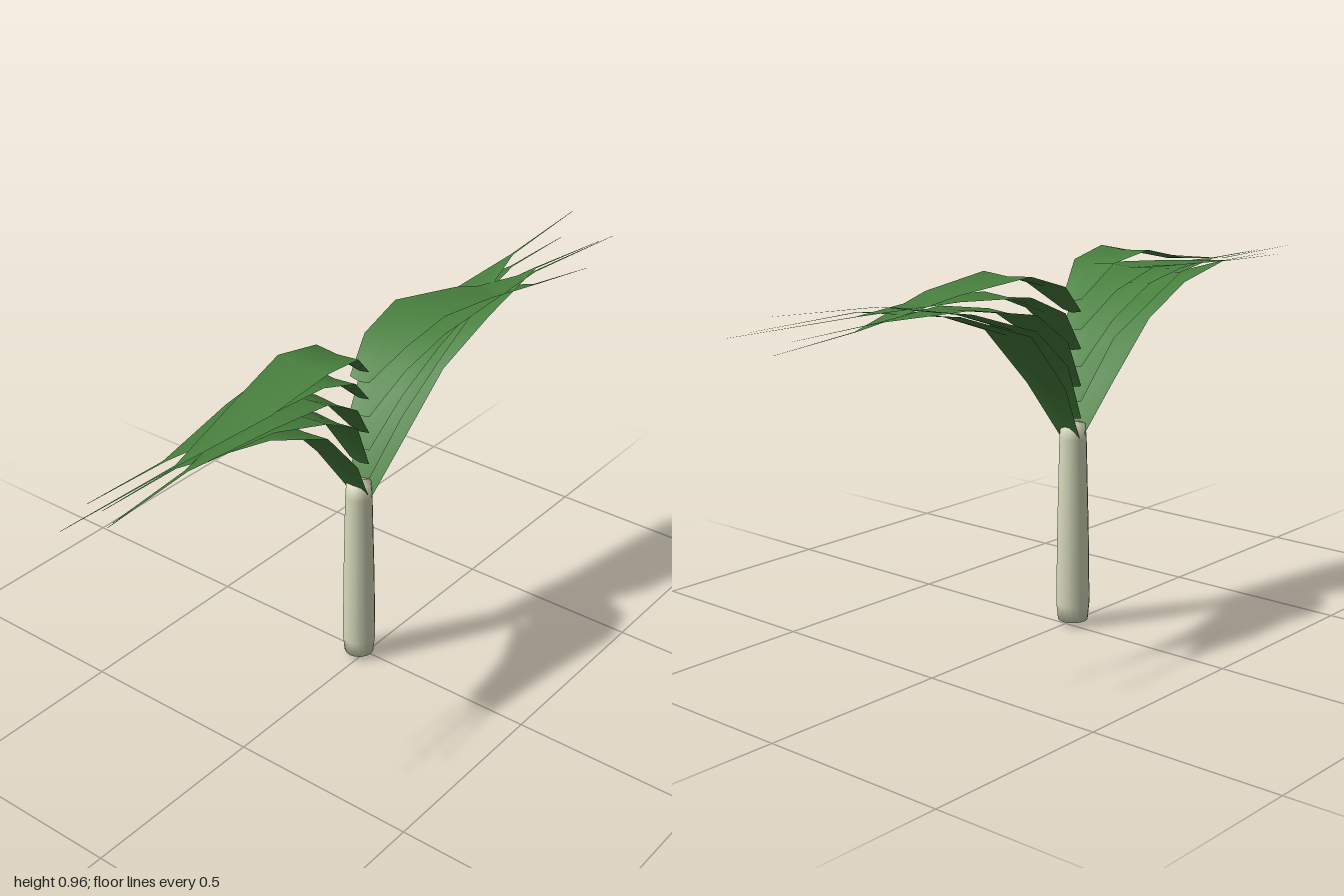
import * as THREE from 'three';

const stalkMat = new THREE.MeshStandardMaterial({ color: 0xd6d9bb });
stalkMat.name = 'pale stalk';
const leafMat = new THREE.MeshStandardMaterial({ color: 0x48803e, side: THREE.DoubleSide });
leafMat.name = 'leaf green';

const BASE_X = -0.013;
const RIB_DROP = 0.006;
// half widths at each station: base, shoulder, widest, taper, blade end, needle tip
const HALF = [0.03, 0.064, 0.077, 0.055, 0.003, 0.0007];

// A strap leaf with a shallow midrib, lofted through stations; dir is +1 forward or -1 backward
function leaf(name, dir, heights, reach, midX, tipX) {
  const zs = dir > 0 ? [0.01, 0.10, 0.23, 0.41, 0.66, reach] : [-0.01, 0.08, 0.21, 0.41, 0.66, reach];
  const pos = [], index = [];
  zs.forEach((z, i) => {
    const x = i < 3
      ? THREE.MathUtils.lerp(BASE_X, midX, i / 2)
      : THREE.MathUtils.lerp(midX, tipX, (z - zs[2]) / (reach - zs[2]));
    const drop = i < 4 ? RIB_DROP : 0;
    for (const side of [-1, 0, 1]) {
      pos.push(x + side * dir * HALF[i], heights[i] - (side ? 0 : drop), z * dir);
    }
    if (i) {
      for (const a of [3 * i - 3, 3 * i - 2]) index.push(a, a + 3, a + 1, a + 1, a + 3, a + 4);
    }
  });
  const geo = new THREE.BufferGeometry();
  geo.setAttribute('position', new THREE.Float32BufferAttribute(pos, 3));
  geo.setIndex(index);
  geo.computeVertexNormals();
  const mesh = new THREE.Mesh(geo, leafMat);
  mesh.name = name;
  return mesh;
}

export function createModel() {
  const group = new THREE.Group();
  group.name = 'leek';

  // Stalk: slightly tapered, with a blunt root end
  const profile = [
    [0, 0], [0.039, 0.014], [0.0435, 0.06], [0.041, 0.25], [0.035, 0.5], [0.032, 0.538], [0, 0.545],
  ].map(([r, y]) => new THREE.Vector2(r, y));
  const stalk = new THREE.Mesh(new THREE.LatheGeometry(profile, 16), stalkMat);
  stalk.name = 'stalk';
  stalk.position.set(BASE_X, 0, 0.014);
  group.add(stalk);

  // Leaves fan out in two opposite ranks: heights, reach, middle x, tip x
  const front = [
    [[0.50, 0.645, 0.79, 0.86, 0.885, 0.885], 0.88, -0.012, -0.015],
    [[0.60, 0.755, 0.83, 0.885, 0.89, 0.885], 0.90, -0.012, 0.035],
    [[0.69, 0.805, 0.88, 0.895, 0.89, 0.885], 0.92, -0.012, 0.04],
    [[0.785, 0.875, 0.922, 0.91, 0.89, 0.885], 0.88, -0.022, -0.06],
    [[0.86, 0.943, 0.965, 0.925, 0.892, 0.895], 1.0, -0.006, -0.015],
  ];
  const back = [
    [[0.49, 0.65, 0.80, 0.87, 0.905, 0.895], 0.94, 0.005, 0.085],
    [[0.557, 0.71, 0.815, 0.88, 0.925, 0.945], 0.97, -0.01, -0.025],
    [[0.64, 0.77, 0.855, 0.89, 0.89, 0.885], 0.92, -0.01, -0.025],
    [[0.735, 0.84, 0.895, 0.905, 0.895, 0.89], 1.0, 0.006, 0.09],
    [[0.83, 0.905, 0.945, 0.92, 0.86, 0.835], 0.88, 0.006, 0.085],
  ];
  front.forEach((f, i) => group.add(leaf(`frontLeaf${i + 1}`, 1, ...f)));
  back.forEach((b, i) => group.add(leaf(`backLeaf${i + 1}`, -1, ...b)));
  return group;
}
